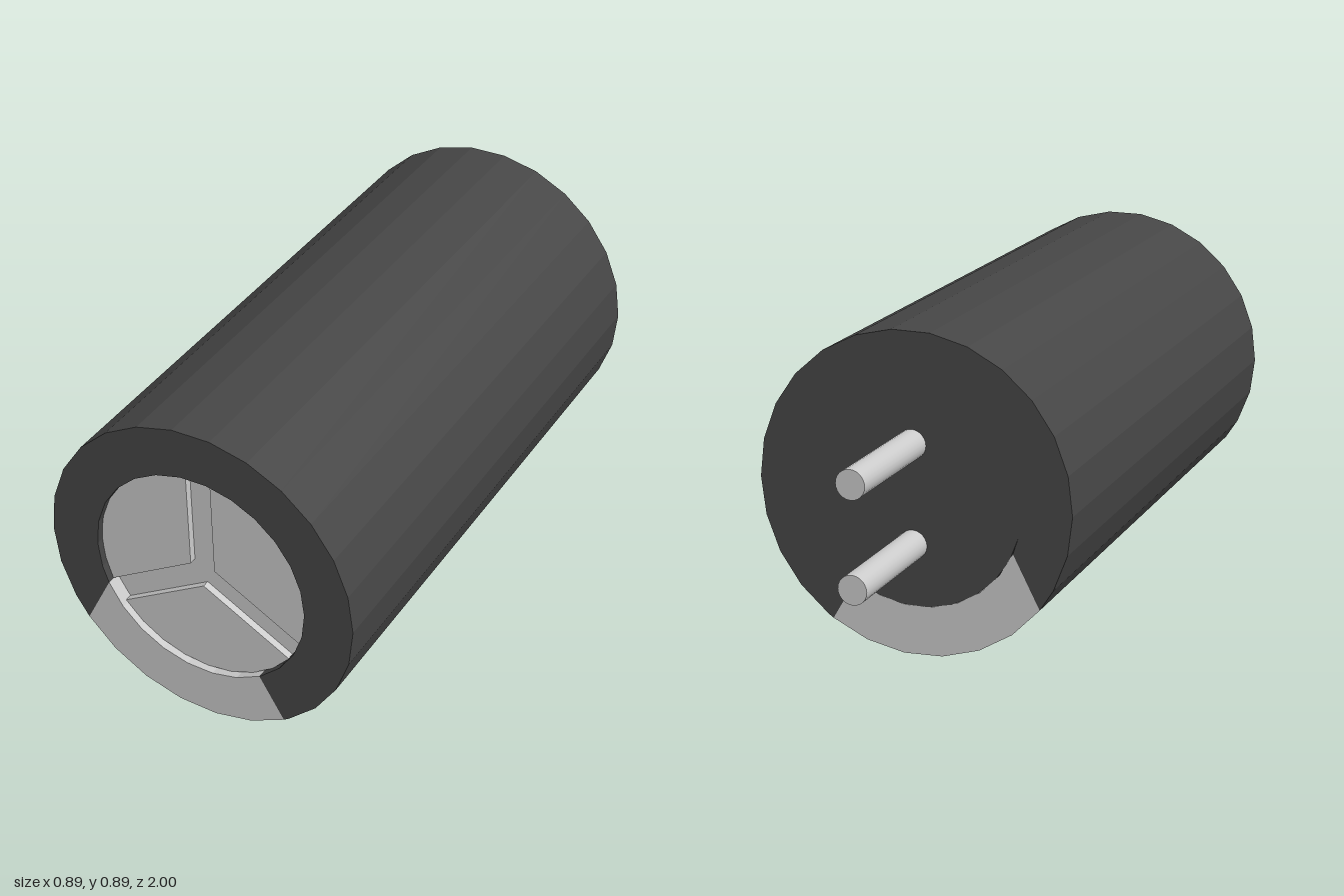
import * as THREE from 'three';

const CY = 0.446;        // axis height
const R = 0.445;         // outer radius of the sleeve
const RI = 0.307;        // radius of the front opening
const BACK = -0.64, FRONT = 1;
const SIDES = 26, STEP = 360 / SIDES;

const polar = (r, deg) => new THREE.Vector2(
  r * Math.cos(THREE.MathUtils.degToRad(deg)),
  r * Math.sin(THREE.MathUtils.degToRad(deg)));

// n equal chords between two angles
function arc(r, a0, a1, n) {
  return Array.from({ length: n + 1 }, (_, i) => polar(r, a0 + (a1 - a0) * i / n));
}

// the two ends plus every corner of the 26-gon between them
function facetArc(r, a0, a1) {
  const pts = [polar(r, a0)];
  for (let k = Math.ceil(a0 / STEP); k * STEP < a1; k++) pts.push(polar(r, k * STEP));
  pts.push(polar(r, a1));
  return pts;
}

export function createModel() {
  const model = new THREE.Group();
  model.name = 'capacitor';
  const grey = new THREE.MeshStandardMaterial({ color: 0xcccccc });
  const dark = new THREE.MeshStandardMaterial({ color: 0x464646 });

  function prism(name, points, z0, z1, material, y = CY) {
    const geometry = new THREE.ExtrudeGeometry(new THREE.Shape(points),
      { depth: z1 - z0, bevelEnabled: false });
    const mesh = new THREE.Mesh(geometry, material);
    mesh.name = name;
    mesh.position.set(0, y, z0);
    model.add(mesh);
  }

  // Wrapped sleeve, open where the marking stripe runs
  const inner = facetArc(RI, -56.7, 203.3);
  prism('sleeve', [...facetArc(R, -57.7, 216.7), ...inner.reverse()], BACK, FRONT, dark);

  // Polarity stripe filling the gap along the full length
  prism('stripe', [...arc(R, 216.7, 302.3, 6), ...arc(RI, 303.3, 203.3, 7)], BACK, FRONT, grey);

  // Closed back end and the metal can inside
  const disc = arc(RI, 0, 360 - STEP, SIDES - 1);
  prism('backPlug', disc, BACK, BACK + 0.04, dark);
  prism('canTop', disc, BACK + 0.04, FRONT - 0.04, grey);

  // Three raised sectors leave a Y-shaped vent groove between them
  const half = 0.035;
  const spread = 60 - THREE.MathUtils.radToDeg(Math.asin(half / RI));
  for (const a of [30, 150, 270]) {
    prism('ventSector', [polar(half / Math.sin(Math.PI / 3), a),
      ...arc(RI, a - spread, a + spread, 8)], FRONT - 0.04, FRONT - 0.02, grey, CY + 0.002);
  }

  // Two round leads at the back
  for (const y of [0.587, 0.312]) {
    const lead = new THREE.Mesh(new THREE.CylinderGeometry(0.04, 0.04, 0.38, 24), grey);
    lead.name = 'lead';
    lead.rotation.x = Math.PI / 2;
    lead.position.set(0, y, -0.81);
    model.add(lead);
  }
  return model;
}
